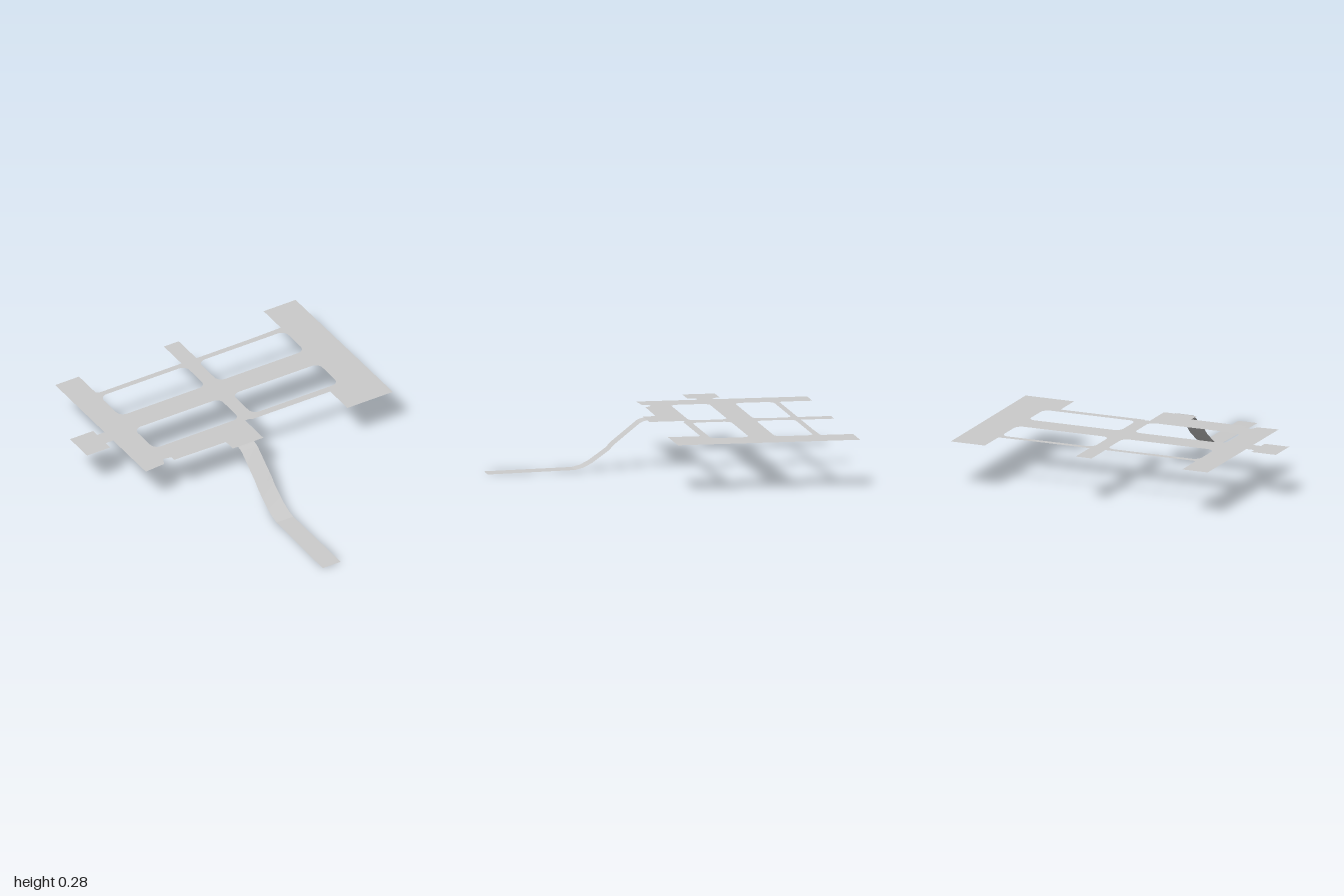
import * as THREE from 'three';

const material = new THREE.MeshStandardMaterial({ color: 0xcccccc, side: THREE.DoubleSide });
const DECK_Y = 0.285;

// Rounded rectangular opening, given in plan coordinates (x, z)
function opening(x0, x1, z0, z1, r = 0.045) {
  const p = new THREE.Path();
  const b = -z1, t = -z0;
  p.moveTo(x0 + r, b);
  p.lineTo(x1 - r, b);
  p.absarc(x1 - r, b + r, r, -Math.PI / 2, 0);
  p.lineTo(x1, t - r);
  p.absarc(x1 - r, t - r, r, 0, Math.PI / 2);
  p.lineTo(x0 + r, t);
  p.absarc(x0 + r, t - r, r, Math.PI / 2, Math.PI);
  p.lineTo(x0, b + r);
  p.absarc(x0 + r, b + r, r, Math.PI, Math.PI * 1.5);
  return p;
}

// Flat sheet from a plan outline
function sheet(name, points, y, holes = []) {
  const shape = new THREE.Shape(points.map(([x, z]) => new THREE.Vector2(x, -z)));
  shape.holes.push(...holes);
  const geometry = new THREE.ShapeGeometry(shape, 6);
  geometry.rotateX(-Math.PI / 2).translate(0, y, 0);
  const mesh = new THREE.Mesh(geometry, material);
  mesh.name = name;
  return mesh;
}

// Strip swept through sections [z, y, left x, right x]
function strip(name, sections) {
  const pos = [], index = [];
  sections.forEach(([z, y, x0, x1], i) => {
    pos.push(x0, y, z, x1, y, z);
    if (i) {
      const a = 2 * i - 2;
      index.push(a, a + 2, a + 1, a + 1, a + 2, a + 3);
    }
  });
  const geometry = new THREE.BufferGeometry();
  geometry.setAttribute('position', new THREE.Float32BufferAttribute(pos, 3));
  geometry.setIndex(index);
  geometry.computeVertexNormals();
  const mesh = new THREE.Mesh(geometry, material);
  mesh.name = name;
  return mesh;
}

export function createModel() {
  const model = new THREE.Group();
  model.name = 'roadNetwork';

  // Raised street grid with four block openings and a side pad
  const outline = [
    [-0.71, -1], [-0.55, -1], [-0.55, -0.82], [-0.535, -0.805],
    [0.02, -0.805], [0.02, -1], [0.12, -1], [0.12, -0.805],
    [0.47, -0.805], [0.69, -0.81], [0.69, -1], [0.905, -1],
    [0.91, 0.065], [0.605, 0.065], [0.605, -0.125], [0.08, -0.125],
    [0.07, -0.135], [0.04, -0.135], [0.04, 0.065], [-0.165, 0.065],
    [-0.165, -0.01], [-0.51, -0.015], [-0.51, -0.045], [-0.56, -0.055],
    [-0.58, -0.01], [-0.71, 0], [-0.71, -0.36], [-0.76, -0.36],
    [-0.76, -0.31], [-0.915, -0.31], [-0.915, -0.5], [-0.76, -0.5],
    [-0.76, -0.455], [-0.71, -0.455],
  ];
  const blocks = [];
  for (const [x0, x1] of [[-0.55, 0.025], [0.11, 0.69]])
    for (const [z0, z1] of [[-0.77, -0.545], [-0.395, -0.17]])
      blocks.push(opening(x0, x1, z0, z1));
  model.add(sheet('streetGrid', outline, DECK_Y, blocks));

  // Ramp down from the grid
  model.add(strip('ramp', [
    [0.065, DECK_Y, -0.13, -0.023], [0.09, 0.28, -0.13, -0.023],
    [0.11, 0.27, -0.13, -0.023], [0.26, 0.15, -0.13, -0.021],
    [0.29, 0.118, -0.13, -0.021], [0.39, 0.047, -0.13, -0.019],
    [0.44, 0.022, -0.13, -0.018], [0.49, 0.01, -0.13, -0.017],
  ]));

  // Low road at the foot of the ramp
  model.add(strip('lowerRoad', [
    [0.49, 0.01, -0.13, -0.017], [1, 0, -0.13, -0.01],
  ]));
  return model;
}
